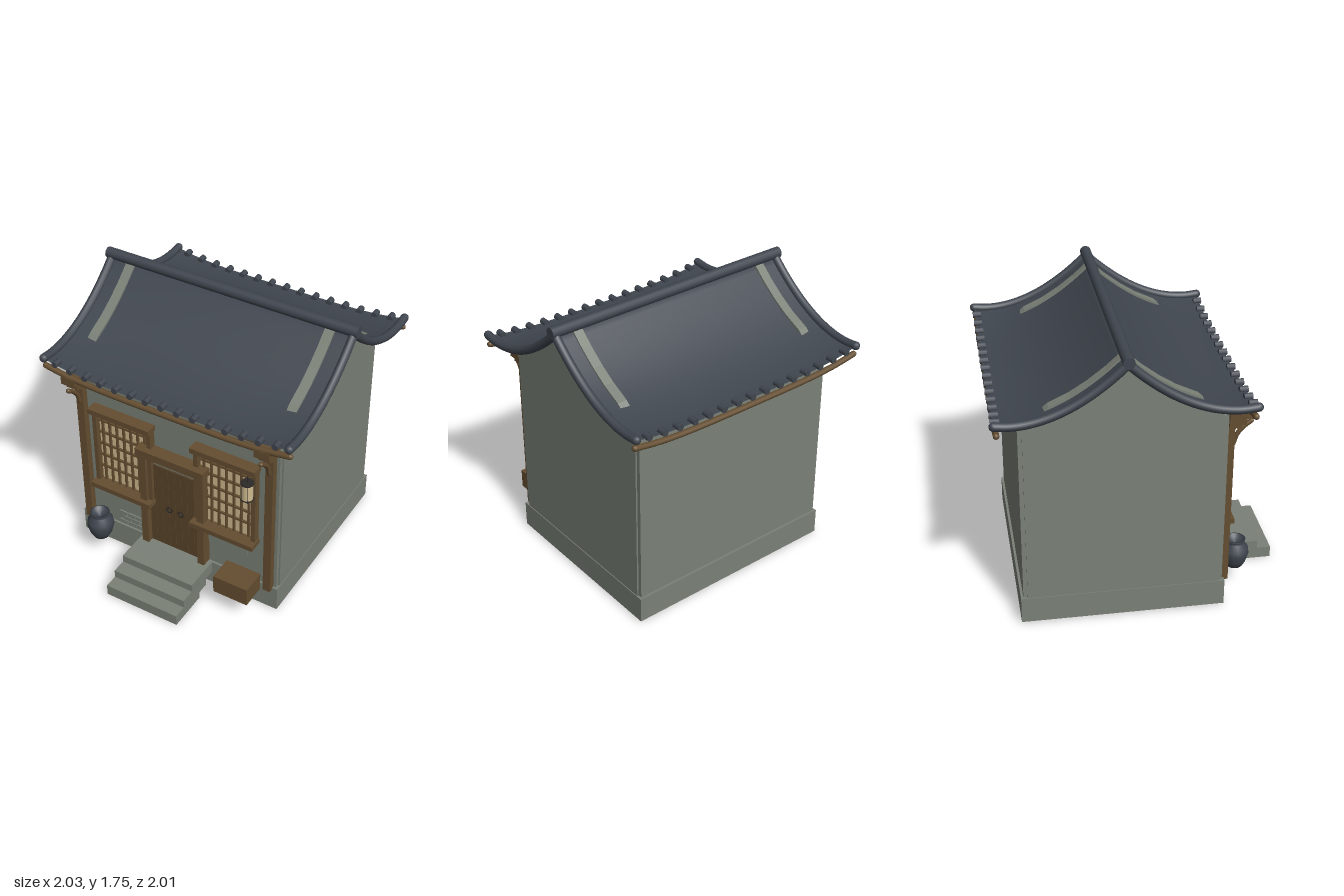
import * as THREE from 'three';

const paint = (name, color, side = THREE.FrontSide) => {
  const m = new THREE.MeshStandardMaterial({ color, side });
  m.name = name;
  return m;
};

// Roof height at a local point: concave slope with upturned corners
const HALF_W = 0.81, HALF_D = 0.7275;
function roofY(x, z) {
  const t = Math.abs(z);
  const slope = 1.34 + 0.36 * Math.pow(Math.abs(1 - t / 0.7), 1.9);
  return slope + 0.045 * (t / HALF_D) ** 2 * Math.abs(x / HALF_W) ** 4;
}

export function createModel() {
  const stone = paint('stone', 0x7b8177);
  const tile = paint('roofTile', 0x40464f);
  const tileSheet = paint('roofSheet', 0x40464f, THREE.DoubleSide);
  const wood = paint('wood', 0x654e31);
  const doorWood = paint('doorWood', 0x5a452b);
  const paper = paint('paper', 0xd0bd90);
  const iron = paint('iron', 0x2b2a28);

  const root = new THREE.Group();
  root.name = 'house';
  const house = new THREE.Group();
  house.name = 'turnedHouse';
  house.rotation.y = -0.3;
  house.position.z = -0.05;
  root.add(house);

  const add = (name, geo, mat, x = 0, y = 0, z = 0) => {
    const m = new THREE.Mesh(geo, mat);
    m.name = name;
    m.position.set(x, y, z);
    house.add(m);
    return m;
  };
  // Box given by its limits on each axis
  const box = (name, mat, x0, x1, y0, y1, z0, z1) =>
    add(name, new THREE.BoxGeometry(x1 - x0, y1 - y0, z1 - z0), mat,
      (x0 + x1) / 2, (y0 + y1) / 2, (z0 + z1) / 2);
  const tube = (name, mat, pts, r, seg = 28) => {
    const curve = new THREE.CatmullRomCurve3(pts);
    add(name, new THREE.TubeGeometry(curve, seg, r, 10), mat);
    for (const p of [pts[0], pts[pts.length - 1]])
      add(name + 'End', new THREE.SphereGeometry(r, 10, 8), mat, p.x, p.y, p.z);
  };
  const V = (x, y, z) => new THREE.Vector3(x, y, z);

  // Plinth and walls
  box('plinth', stone, -0.705, 0.705, 0.01, 0.175, -0.61, 0.61);
  box('walls', stone, -0.69, 0.69, 0.175, 1.29, -0.595, 0.595);

  // Gable slabs, their tops just breaking through the roof
  const half = [0, 0.1, 0.2, 0.3, 0.42].map(t => [t, roofY(0.7, t) + 0.012]);
  half.push([0.57, 1.29], [0.57, 0.17]);
  const outline = [...half.slice().reverse().map(([t, y]) => new THREE.Vector2(t, y)),
    ...half.slice(1).map(([t, y]) => new THREE.Vector2(-t, y))];
  const gable = new THREE.ExtrudeGeometry(new THREE.Shape(outline), { depth: 0.06, bevelEnabled: false });
  gable.rotateY(Math.PI / 2);
  add('rightGable', gable, stone, -0.7);
  add('leftGable', gable, stone, 0.64);

  // Curved roof
  const sheet = new THREE.PlaneGeometry(2 * HALF_W, 2 * HALF_D, 24, 40).rotateX(-Math.PI / 2);
  const p = sheet.attributes.position;
  for (let i = 0; i < p.count; i++) p.setY(i, roofY(p.getX(i), p.getZ(i)));
  sheet.computeVertexNormals();
  add('roof', sheet, tileSheet);
  add('ridge', new THREE.CylinderGeometry(0.034, 0.034, 1.68, 14).rotateZ(Math.PI / 2), tile, 0, 1.72, 0);

  for (const s of [-1, 1]) {
    // Verge rolls down each slope
    for (const f of [-1, 1]) {
      const pts = [];
      for (let i = 0; i <= 10; i++) {
        const z = f * HALF_D * i / 10;
        pts.push(V(s * HALF_W, roofY(HALF_W, z) + 0.005, z));
      }
      tube('vergeRoll', tile, pts, 0.026);
    }
    // Eave pole, rising at the corners
    const pole = [];
    for (let i = -6; i <= 6; i++) {
      const k = i / 6;
      pole.push(V(k * HALF_W, 1.29 + 0.042 * k ** 4, s * 0.715));
    }
    tube('eavePole', wood, pole, 0.018, 36);
    // Tile ends along the eave
    for (let i = -7; i <= 7; i++) {
      const x = i * 0.104;
      add('tileEnd', new THREE.CylinderGeometry(0.02, 0.02, 0.05, 10).rotateX(Math.PI / 2), tile,
        x, roofY(x, 0.71) + 0.008, s * 0.715);
    }
  }

  // Front posts with stacked brackets
  for (const s of [-1, 1]) {
    const x = s * 0.645;
    box('frontPost', wood, x - 0.025, x + 0.025, 0.16, 1.29, 0.59, 0.637);
    box('bracketLow', wood, x - 0.03, x + 0.03, 1.19, 1.215, 0.6, 0.67);
    box('bracketMiddle', wood, x - 0.038, x + 0.038, 1.215, 1.255, 0.6, 0.7);
    box('bracketTop', wood, x - 0.048, x + 0.048, 1.255, 1.305, 0.6, 0.735);
    tube('bracketBrace', wood, [V(x, 1.08, 0.635), V(x, 1.14, 0.655), V(x, 1.185, 0.69), V(x, 1.22, 0.735)], 0.014, 10);
  }
  box('eaveBeam', wood, -0.69, 0.69, 1.265, 1.3, 0.6, 0.645);

  // Lattice windows
  for (const s of [-1, 1]) {
    const cx = s * 0.355;
    box('windowPaper', paper, cx - 0.19, cx + 0.19, 0.51, 1.05, 0.595, 0.605);
    box('windowHead', wood, cx - 0.215, cx + 0.215, 1.04, 1.075, 0.59, 0.67);
    box('windowSill', wood, cx - 0.215, cx + 0.215, 0.485, 0.518, 0.59, 0.688);
    for (const e of [-1, 1])
      box('windowStile', wood, cx + e * 0.193 - 0.014, cx + e * 0.193 + 0.014, 0.51, 1.05, 0.59, 0.64);
    for (let i = -3; i <= 3; i++)
      box('verticalBar', wood, cx + i * 0.05 - 0.006, cx + i * 0.05 + 0.006, 0.51, 1.05, 0.6, 0.62);
    for (let i = 0; i < 5; i++)
      box('crossBar', wood, cx - 0.19, cx + 0.19, 0.615 + i * 0.088, 0.627 + i * 0.088, 0.6, 0.618);
    box('underWindowPanel', stone, cx - 0.14, cx + 0.14, 0.35, 0.48, 0.59, 0.602);
  }

  // Loose bricks showing low on the wall
  for (let row = 0; row < 3; row++)
    for (let i = 0; i < 3; i++) {
      const x = -0.43 + i * 0.062 + (row % 2) * 0.03;
      box('brick', stone, x, x + 0.056, 0.185 + row * 0.035, 0.214 + row * 0.035, 0.59, 0.605);
    }

  // Plank door, frame and transom
  for (let i = 0; i < 8; i++) {
    const x = -0.18 + i * 0.045;
    box('doorPlank', doorWood, x + 0.001, x + 0.044, 0.175, 0.79, 0.59, 0.62);
  }
  box('doorBack', iron, -0.18, 0.18, 0.175, 0.79, 0.59, 0.612);
  box('transom', stone, -0.18, 0.18, 0.79, 0.87, 0.59, 0.61);
  for (const s of [-1, 1]) {
    box('doorJamb', wood, s * 0.2 - 0.023, s * 0.2 + 0.023, 0.17, 0.87, 0.59, 0.66);
    add('doorRing', new THREE.TorusGeometry(0.018, 0.004, 6, 18), iron, s * 0.04, 0.48, 0.625);
  }
  box('doorLintel', wood, -0.235, 0.235, 0.87, 0.922, 0.59, 0.68);

  // Entrance steps
  [[0, 0.072, 0.76, 1.02], [0.045, 0.125, 0.68, 0.934], [0.095, 0.176, 0.6, 0.842]]
    .forEach(([y0, y1, z0, z1]) => box('step', stone, -0.25, 0.25, y0, y1, z0, z1));

  // Crate
  box('crate', wood, 0.375, 0.605, 0.16, 0.283, 0.64, 0.8);

  // Water jar
  const jar = [[0, 0.142], [0.05, 0.142], [0.07, 0.18], [0.085, 0.235], [0.08, 0.27], [0.056, 0.305],
    [0.054, 0.315], [0.062, 0.328], [0.05, 0.33], [0.045, 0.31], [0, 0.29]];
  add('waterJar', new THREE.LatheGeometry(jar.map(([r, y]) => new THREE.Vector2(r, y)), 20), tile, -0.496, 0, 0.72);

  // Hanging lantern
  const lx = 0.563, lz = 0.736;
  add('lanternShade', new THREE.CylinderGeometry(0.037, 0.037, 0.108, 14), paper, lx, 0.997, lz);
  add('lanternCord', new THREE.CylinderGeometry(0.003, 0.003, 0.2, 6), iron, lx, 1.0, lz);
  for (const y of [0.942, 1.052])
    add('lanternCap', new THREE.CylinderGeometry(0.039, 0.039, 0.007, 14), iron, lx, y, lz);
  for (let i = 0; i < 6; i++) {
    const a = i * Math.PI / 3;
    add('lanternRib', new THREE.CylinderGeometry(0.002, 0.002, 0.108, 5), iron,
      lx + 0.038 * Math.cos(a), 0.997, lz + 0.038 * Math.sin(a));
  }
  return root;
}
